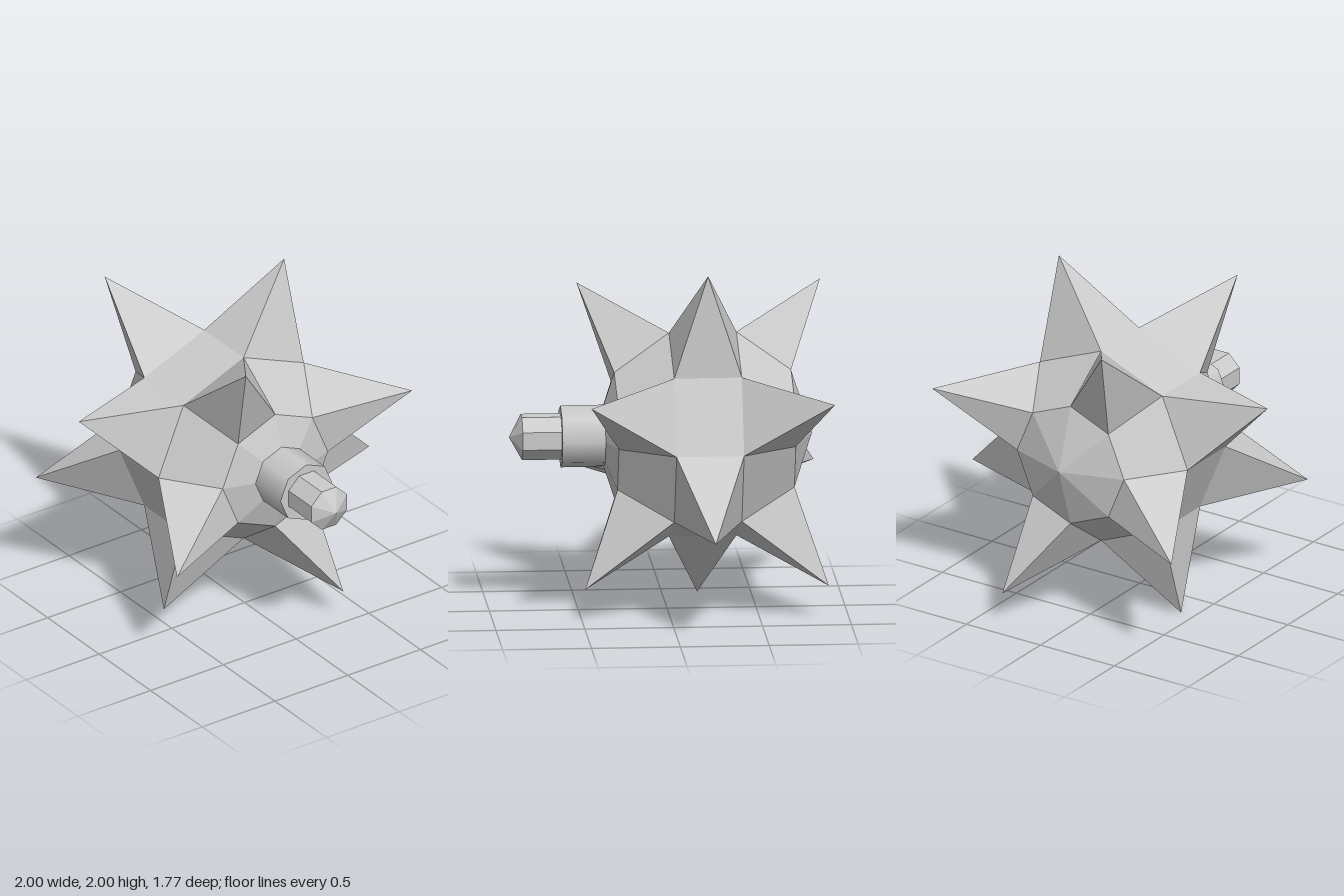
import * as THREE from 'three';

const SIDES = 8, BANDS = 5, RADIUS = 0.615;
const CENTRE = new THREE.Vector3(0, 1, -0.2);

// Point at an angle about the z axis, a distance from it and a height along it
const polar = (angle, r, z) => new THREE.Vector3(r * Math.cos(angle), r * Math.sin(angle), z);

// Vertex of the body: ring 0 is the back pole, ring BANDS the front pole
function bodyPoint(ring, j) {
  const lat = (ring / BANDS - 0.5) * Math.PI;
  return polar((j / SIDES) * Math.PI * 2, RADIUS * Math.cos(lat), RADIUS * Math.sin(lat));
}

function triangleMesh(points, name, material) {
  const geometry = new THREE.BufferGeometry().setFromPoints(points);
  geometry.computeVertexNormals();
  const mesh = new THREE.Mesh(geometry, material);
  mesh.name = name;
  return mesh;
}

// Cylinder or cone lying along z between two depths
function turned(name, backR, frontR, z0, z1, turn, material) {
  const geometry = new THREE.CylinderGeometry(frontR, backR, z1 - z0, SIDES);
  geometry.rotateY(turn).rotateX(Math.PI / 2).translate(0, CENTRE.y, (z0 + z1) / 2);
  const mesh = new THREE.Mesh(geometry, material);
  mesh.name = name;
  return mesh;
}

export function createModel() {
  const model = new THREE.Group();
  model.name = 'spikedBall';
  const flat = new THREE.MeshStandardMaterial({ color: 0xcccccc, flatShading: true });
  const smooth = new THREE.MeshStandardMaterial({ color: 0xcccccc });

  // Faceted ball whose quads are alternately flat and drawn out into spikes
  const shell = [];
  const spikes = new THREE.Group();
  spikes.name = 'spikes';
  for (let ring = 0; ring < BANDS; ring++) {
    for (let j = 0; j < SIDES; j++) {
      const a = bodyPoint(ring, j), b = bodyPoint(ring, j + 1);
      const c = bodyPoint(ring + 1, j + 1), d = bodyPoint(ring + 1, j);
      if (ring === 0) shell.push(a, c, d);
      else if (ring === BANDS - 1) shell.push(a, b, d);
      else if ((ring + j) % 2 === 0) shell.push(a, b, c, a, c, d);
      else {
        const angle = ((j + 0.5) / SIDES) * Math.PI * 2;
        const tip = ring === 2 ? polar(angle, 1.08, 0) : polar(angle, 0.875, (ring - 2) * 0.685);
        spikes.add(triangleMesh([a, b, tip, b, c, tip, c, d, tip, d, a, tip], 'spike', flat));
      }
    }
  }
  const body = triangleMesh(shell, 'body', flat);
  body.position.copy(CENTRE);
  spikes.position.copy(CENTRE);
  model.add(body, spikes);

  // Stem at the front: round collar, narrower faceted peg and pointed end
  const turn = Math.PI / 8;
  model.add(
    turned('collar', 0.178, 0.178, 0.3, 0.6, 0, smooth),
    turned('peg', 0.132, 0.132, 0.58, 0.82, turn, flat),
    turned('pegTip', 0.132, 0, 0.82, 0.89, turn, flat)
  );
  return model;
}
